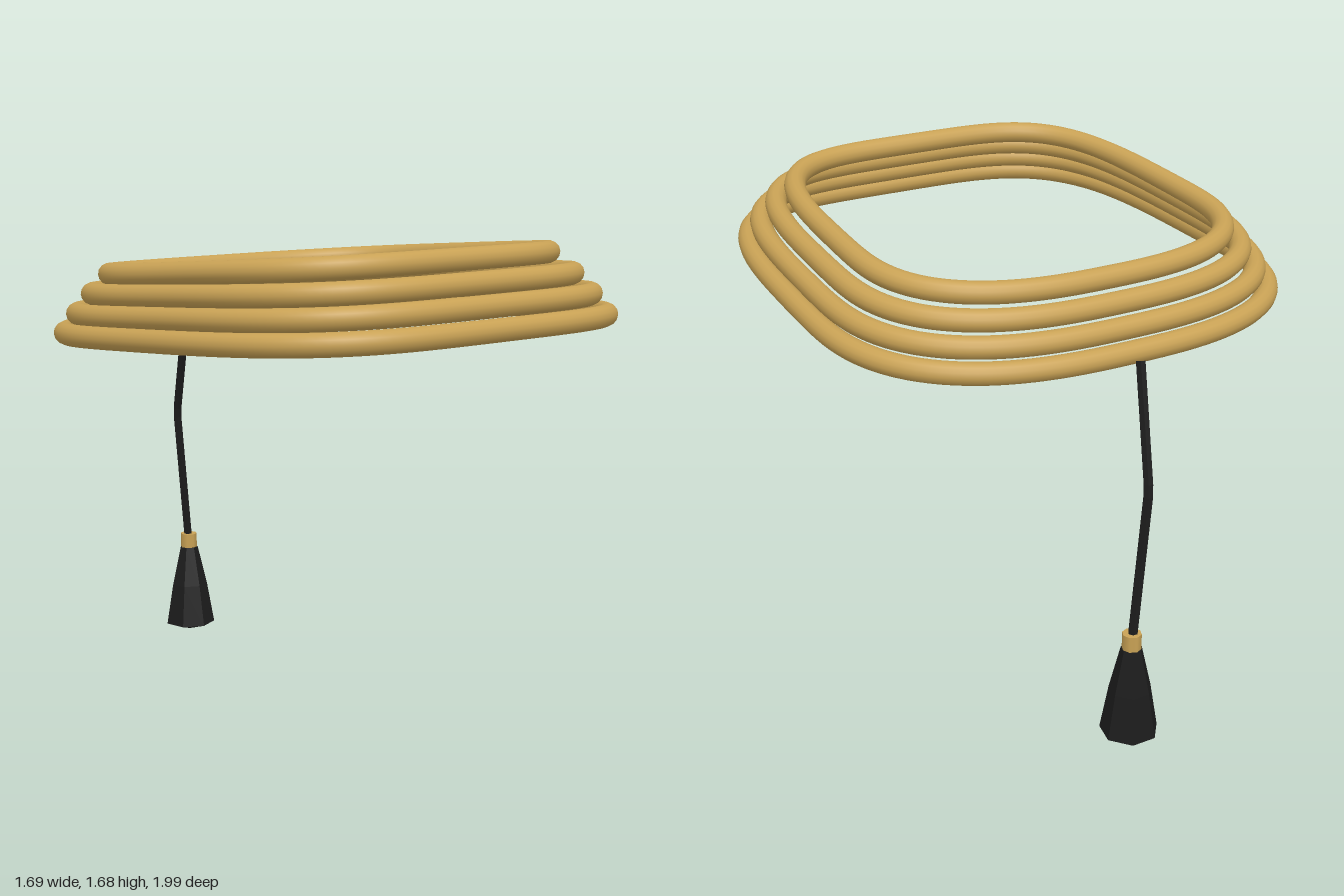
import * as THREE from 'three';

const gold = new THREE.MeshStandardMaterial({ color: 0xc9a255 });
gold.name = 'warm gold';
const black = new THREE.MeshStandardMaterial({ color: 0x1c1c1c });
black.name = 'soft black';

function part(name, geometry, material) {
  const mesh = new THREE.Mesh(geometry, material);
  mesh.name = name;
  return mesh;
}

// Separate the faces so every facet gets its own normal
function faceted(geometry) {
  const g = geometry.toNonIndexed();
  g.computeVertexNormals();
  return g;
}

// Closed, tilted loop: rounder at the back, squarer and slightly tapered at the front
function loopCurve({ halfWidth, front, back, yFront, yBack }) {
  const centreZ = -0.1;
  const points = [];
  const count = 72;
  for (let i = 0; i < count; i++) {
    const t = (i / count) * Math.PI * 2;
    const c = Math.cos(t), s = Math.sin(t);
    const isFront = s > 0;
    const power = 2 / (isFront ? 4 : 2.65);
    const u = Math.sign(c) * Math.abs(c) ** power;
    const v = Math.abs(s) ** power;
    const x = halfWidth * u * (isFront ? 1 - 0.04 * v : 1);
    const z = isFront ? centreZ + (front - centreZ) * v : centreZ + (back - centreZ) * v;
    const y = THREE.MathUtils.mapLinear(z, back, front, yBack, yFront);
    points.push(new THREE.Vector3(x, y, z));
  }
  return new THREE.CatmullRomCurve3(points, true, 'centripetal');
}

export function createModel() {
  const group = new THREE.Group();
  group.name = 'coiledLoopsWithTassel';

  // Four stacked loops, shrinking upwards
  const loops = [
    { halfWidth: 0.807, front: 0.957, back: -0.737, yFront: 1.441, yBack: 1.33 },
    { halfWidth: 0.767, front: 0.907, back: -0.692, yFront: 1.51, yBack: 1.397 },
    { halfWidth: 0.717, front: 0.849, back: -0.645, yFront: 1.578, yBack: 1.466 },
    { halfWidth: 0.66, front: 0.766, back: -0.587, yFront: 1.647, yBack: 1.534 },
  ];
  loops.forEach((loop, i) => {
    const tube = new THREE.TubeGeometry(loopCurve(loop), 160, 0.038, 14, true);
    group.add(part(`loop${i + 1}`, tube, gold));
  });

  // Cord hanging from the back, with one bend
  const cordPath = new THREE.CurvePath();
  const stops = [
    new THREE.Vector3(0, 1.315, -0.778),
    new THREE.Vector3(0.038, 0.92, -0.902),
    new THREE.Vector3(0.083, 0.39, -0.902),
  ];
  for (let i = 0; i < 2; i++) cordPath.add(new THREE.LineCurve3(stops[i], stops[i + 1]));
  group.add(part('cord', faceted(new THREE.TubeGeometry(cordPath, 24, 0.017, 6, false)), black));

  // Tassel with its metal collar
  const tassel = new THREE.Group();
  tassel.name = 'tassel';
  tassel.position.set(0.085, 0, -0.902);
  const collar = part('collar', new THREE.CylinderGeometry(0.033, 0.033, 0.06, 8), gold);
  collar.position.y = 0.381;
  const profile = [
    [0, 0.004], [0.1, 0.037], [0.072, 0.2], [0.036, 0.355], [0, 0.355],
  ].map(([r, y]) => new THREE.Vector2(r, y));
  tassel.add(collar, part('tasselSkirt', faceted(new THREE.LatheGeometry(profile, 7)), black));
  group.add(tassel);

  return group;
}
